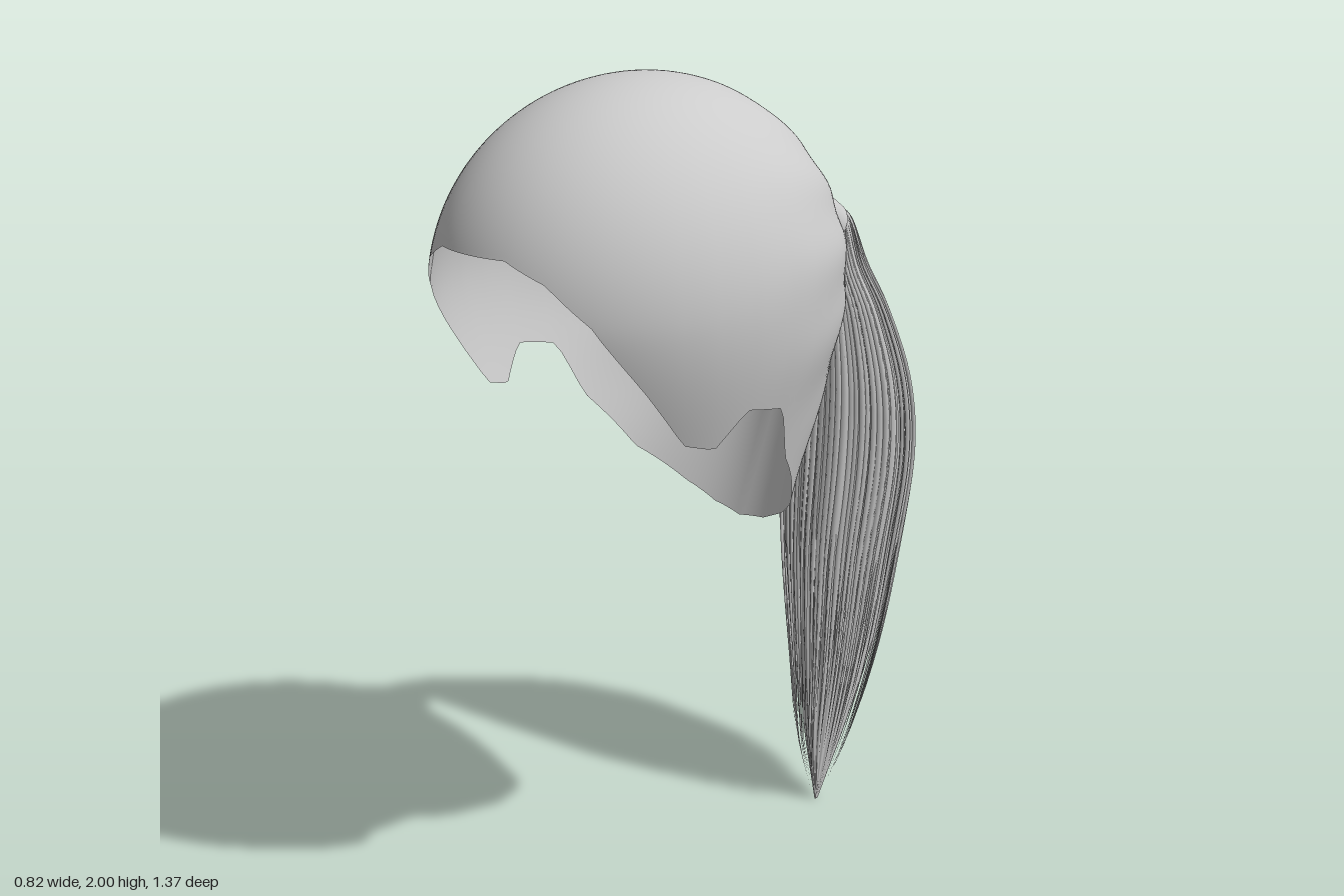
import * as THREE from 'three';

const { lerp, smoothstep, degToRad } = THREE.MathUtils;
const material = new THREE.MeshStandardMaterial({ color: 0xcccccc, side: THREE.DoubleSide });

// Surface closed around u, open along v; fn(u, v) returns [x, y, z]
function loft(name, nu, nv, fn) {
  const pos = [], idx = [];
  for (let j = 0; j <= nv; j++) {
    for (let i = 0; i < nu; i++) pos.push(...fn(i / nu, j / nv));
  }
  for (let j = 0; j < nv; j++) {
    for (let i = 0; i < nu; i++) {
      const a = j * nu + i, c = j * nu + (i + 1) % nu;
      idx.push(a, a + nu, c, c, a + nu, c + nu);
    }
  }
  const g = new THREE.BufferGeometry();
  g.setAttribute('position', new THREE.Float32BufferAttribute(pos, 3));
  g.setIndex(idx);
  g.computeVertexNormals();
  const mesh = new THREE.Mesh(g, material);
  mesh.name = name;
  return mesh;
}

// Hairline height against the angle from the front, in degrees
const HAIRLINE = [[0, 1.68], [15, 1.68], [28, 1.64], [40, 1.56], [52, 1.42], [62, 1.29], [72, 1.27],
  [82, 1.35], [96, 1.33], [104, 1.2], [124, 1.06], [149, 0.975], [165, 0.935], [180, 0.92]];

function hairline(deg) {
  let i = 1;
  while (i < HAIRLINE.length - 1 && HAIRLINE[i][0] < deg) i++;
  const [d0, y0] = HAIRLINE[i - 1], [d1, y1] = HAIRLINE[i];
  return lerp(y0, y1, (deg - d0) / (d1 - d0));
}

// Combed-back shell: an ellipsoid crown that narrows toward the nape
function capPoint(u, v) {
  const deg = u * 360, phi = degToRad(deg);
  const edge = hairline(Math.min(deg, 360 - deg));
  const end = edge > 1.55 ? Math.acos((edge - 1.55) / 0.45) : Math.PI / 2 + (1.55 - edge) / 0.45;
  const p = v * end;
  let y, w, f, b;
  if (p < Math.PI / 2) {
    const s = Math.sin(p);
    y = 1.55 + 0.45 * Math.cos(p);
    w = 0.41 * s; f = 0.5 * s; b = 0.48 * s;
  } else {
    const d = (p - Math.PI / 2) * 0.45;
    y = 1.55 - d;
    w = 0.41 - 0.095 * smoothstep(d, 0, 0.55);
    f = 0.5 - 0.08 * (d / 0.25) ** 1.5;
    b = 0.48 - 0.18 * (d / 0.63) ** 1.5;
  }
  let x = w * Math.sin(phi);
  let z = 0.2 + (Math.cos(phi) > 0 ? f : b) * Math.cos(phi);
  // Gathered locks fan out from the tie, and the shell is drawn out into a funnel there
  const dx = x, dy = y - 1.63, dist = Math.hypot(dx, dy);
  const back = smoothstep(-z, -0.3, 0.2) * smoothstep(dist, 0.03, 0.2);
  const ridge = 1 + 0.009 * back * Math.sin(Math.atan2(Math.abs(dx), dy) * 13);
  x *= ridge;
  z = 0.2 + (z - 0.2) * ridge;
  if (z < 0) z -= 0.11 * Math.exp(-((dist / 0.085) ** 2));
  return [x, y, z];
}

// Ponytail envelope: height, front z, back z, half width
const TAIL = [[1.64, -0.39, -0.42, 0.025], [1.61, -0.36, -0.46, 0.055], [1.5, -0.34, -0.505, 0.085],
  [1.38, -0.335, -0.56, 0.135], [1.2, -0.325, -0.635, 0.17], [1.0, -0.315, -0.68, 0.168],
  [0.75, -0.308, -0.668, 0.14], [0.45, -0.325, -0.62, 0.1], [0.2, -0.345, -0.53, 0.06], [0, -0.4, -0.42, 0.004]];
const sideCurve = new THREE.SplineCurve(TAIL.map(r => new THREE.Vector2(r[3], r[0])));
const depthCurve = new THREE.SplineCurve(TAIL.map(r => new THREE.Vector2(r[1], r[2])));

function tailPoint(angle, k, t) {
  const s = sideCurve.getPoint(t), d = depthCurve.getPoint(t);
  const zc = (d.x + d.y) / 2, depth = (d.x - d.y) / 2;
  return [s.x * k * Math.sin(angle), s.y, zc + depth * k * Math.cos(angle)];
}

export function createModel() {
  const group = new THREE.Group();
  group.name = 'ponytailHair';
  let seed = 7;
  const rand = () => (seed = (seed * 16807) % 2147483647) / 2147483647;

  group.add(loft('hairCap', 144, 64, capPoint));

  // Gathered neck between the cap and the ponytail
  const neckPath = new THREE.CatmullRomCurve3([
    new THREE.Vector3(0, 1.64, -0.25), new THREE.Vector3(0, 1.63, -0.33), new THREE.Vector3(0, 1.59, -0.395)]);
  const neck = new THREE.Mesh(new THREE.TubeGeometry(neckPath, 16, 0.062, 24), material);
  neck.name = 'gatheredNeck';
  group.add(neck);

  // Grooved core of the ponytail
  group.add(loft('ponytailCore', 132, 60, (u, t) => {
    const a = u * Math.PI * 2;
    const groove = 0.03 * Math.sin(a * 22) + 0.02 * Math.sin(a * 9 + 1);
    return tailPoint(a, (0.94 + groove) * (1 - 0.35 * smoothstep(t, 0.6, 1)), t);
  }));

  // Outer strands with tapered ends of different lengths
  const strands = new THREE.Group();
  strands.name = 'ponytailStrands';
  const count = 68;
  for (let i = 0; i < count; i++) {
    const a = ((i + 0.6 * rand()) / count) * Math.PI * 2;
    const width = 0.035 + 0.04 * rand(), k = 0.93 + 0.07 * rand();
    const start = 0.08 + 0.05 * rand(), end = 0.82 + 0.16 * rand();
    strands.add(loft('strand', 4, 32, (u, v) => {
      const q = u * Math.PI * 2;
      const taper = Math.min(1, v * 8 + 0.1) * (1 - v ** 4);
      return tailPoint(a + width * Math.sin(q) * taper, k + 0.04 * Math.cos(q) * taper, lerp(start, end, v));
    }));
  }
  group.add(strands);
  return group;
}
